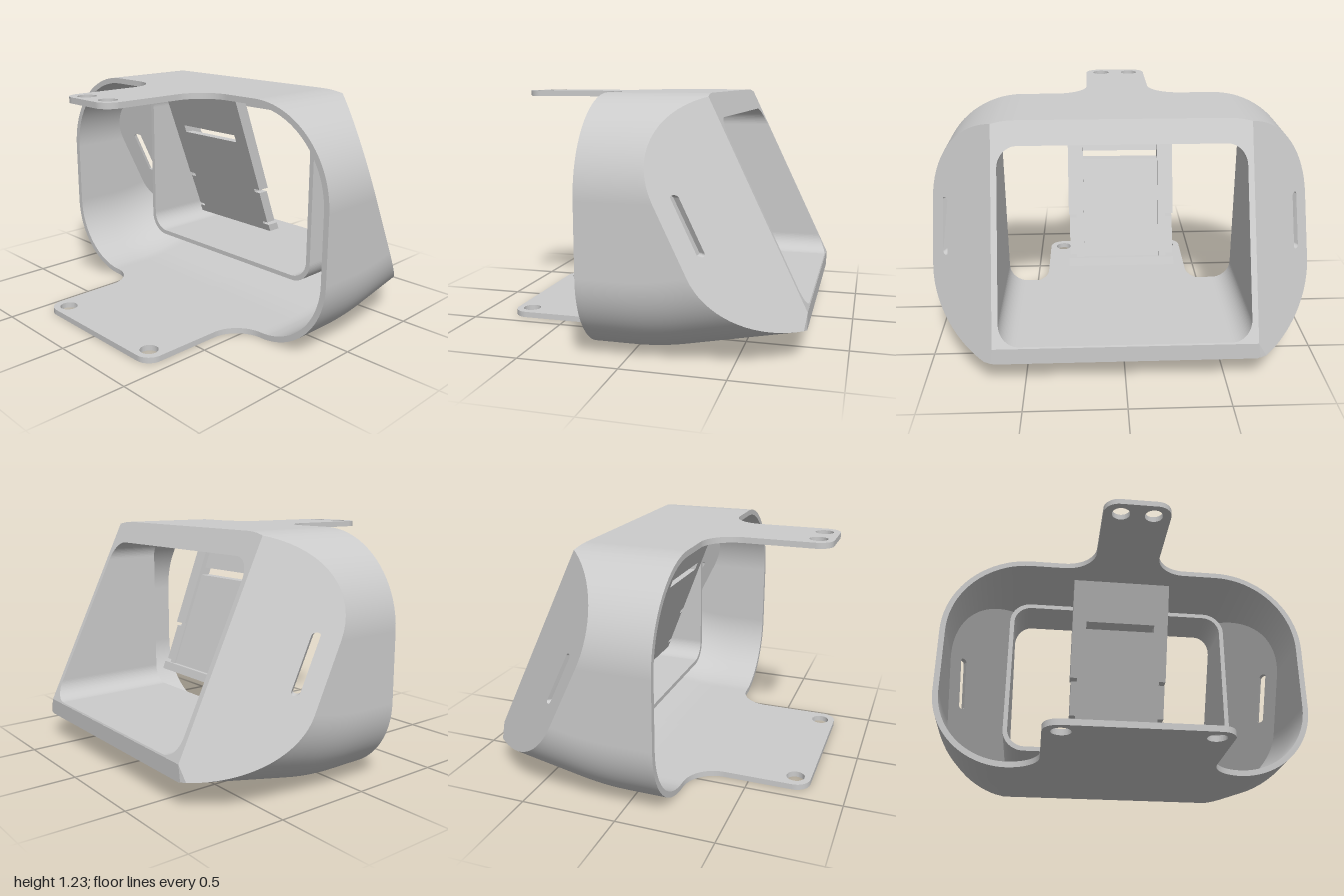
import * as THREE from 'three';

const BACK = -0.2, NOSE = 0.81, TOP = 1.225, WALL = 0.03, EDGE = 0.65, H = Math.PI / 2;
const mat = new THREE.MeshStandardMaterial({ color: 0xcccccc, side: THREE.DoubleSide });

// leaning front plane with a chamfer beyond |z| = EDGE
const planeX = (z, y) => Math.min(NOSE, 0.917 - 1.1 * Math.max(0, Math.abs(z) - EDGE) - 0.483 * y);
// the underside bends up towards the nose
const lift = x => (x < 0 ? 0 : x < 0.25 ? 0.4 * x * x : 0.025 + 0.2 * (x - 0.25));

// half section from bottom middle to top middle: z, y, w (1 = follows the lift)
function halfSection(inset) {
  const pts = [[0, inset, 1]];
  const arc = (r, low) => {
    const cz = 1 - r, cy = low ? r : TOP - r, angles = [Math.acos((EDGE - cz) / r)];
    for (let i = 0; i <= 20; i++) angles.push((i / 20) * H);
    angles.sort((a, b) => (low ? b - a : a - b));
    for (const a of angles) {
      pts.push([cz + (r - inset) * Math.cos(a), cy + (low ? -1 : 1) * (r - inset) * Math.sin(a), low ? 1 : 0]);
    }
  };
  arc(0.4, true);
  arc(0.47, false);
  pts.push([0, TOP - inset, 0]);
  return pts;
}

function frontEnd([z, y, w]) {
  let x = 0.3;
  for (let i = 0; i < 10; i++) x = planeX(z, y + w * lift(x));
  return x;
}

function fullSection(inset) {
  const half = halfSection(inset);
  const other = half.slice(0, -1).reverse().map(([z, y, w]) => [-z, y, w]);
  return [...half, ...other];
}

// surface from a grid of points fn(i, j)
function gridSurface(fn, nu, nv) {
  const pos = [], idx = [];
  for (let i = 0; i <= nu; i++) for (let j = 0; j <= nv; j++) pos.push(...fn(i, j));
  for (let i = 0; i < nu; i++) for (let j = 0; j < nv; j++) {
    const a = i * (nv + 1) + j, b = a + nv + 1;
    idx.push(a, a + 1, b, b, a + 1, b + 1);
  }
  const g = new THREE.BufferGeometry();
  g.setAttribute('position', new THREE.Float32BufferAttribute(pos, 3));
  g.setIndex(idx);
  g.computeVertexNormals();
  return g;
}

function roundedRect(path, w, y0, y1, r) {
  path.moveTo(w, y0 + r);
  path.absarc(w - r, y1 - r, r, 0, H);
  path.absarc(-w + r, y1 - r, r, H, 2 * H);
  path.absarc(-w + r, y0 + r, r, 2 * H, 3 * H);
  path.absarc(w - r, y0 + r, r, 3 * H, 4 * H);
  return path;
}

// extrude a (z, y) outline along x; place(z, y, t) gives the point, t = 0 back, 1 front
function extrudeX(shape, place) {
  const g = new THREE.ExtrudeGeometry(shape, { depth: 1, bevelEnabled: false, curveSegments: 10 });
  g.rotateY(H);
  const p = g.attributes.position;
  for (let i = 0; i < p.count; i++) p.setXYZ(i, ...place(p.getZ(i), p.getY(i), p.getX(i)));
  g.computeVertexNormals();
  return g;
}

// mounting flap with filleted root, rounded tip and two holes
function flap(w, holeZ) {
  const r = 0.17, c = 0.08, tip = -0.81, s = new THREE.Shape();
  s.moveTo(BACK + 0.01, w + r);
  s.absarc(BACK - r, w + r, r, 0, -H, true);
  s.absarc(tip + c, w - c, c, H, 2 * H);
  s.absarc(tip + c, -w + c, c, 2 * H, 3 * H);
  s.absarc(BACK - r, -w - r, r, H, 0, true);
  s.lineTo(BACK + 0.01, -w - r);
  for (const z of [-holeZ, holeZ]) s.holes.push(new THREE.Path().absarc(-0.73, z, 0.047, 0, 4 * H, true));
  return new THREE.ExtrudeGeometry(s, { depth: WALL, bevelEnabled: false, curveSegments: 16 }).rotateX(-H);
}

// leaning slab of the holder between two heights
function slab(z0, z1, y0, y1, th) {
  const xb = y => 0.22 - 0.38 * (y - 0.4);
  const s = new THREE.Shape([[xb(y0), y0], [xb(y0) + th, y0], [xb(y1) + th, y1], [xb(y1), y1]]
    .map(p => new THREE.Vector2(...p)));
  return new THREE.ExtrudeGeometry(s, { depth: z1 - z0, bevelEnabled: false }).translate(0, 0, z0);
}

export function createModel() {
  const model = new THREE.Group();
  const add = (name, geo, parent = model) => {
    const m = new THREE.Mesh(geo, mat);
    m.name = name;
    parent.add(m);
    return m;
  };

  // hood: outer and inner skin, and the rim at the open back
  const outer = fullSection(0), inner = fullSection(WALL), n = outer.length - 1, steps = 20;
  const skin = (ring, gap) => (i, j) => {
    const p = ring[i], x = BACK + (frontEnd(p) - gap - BACK) * (j / steps);
    return [x, p[1] + p[2] * lift(x), p[0]];
  };
  add('hoodOuterSkin', gridSurface(skin(outer, 0), n, steps));
  add('hoodInnerSkin', gridSurface(skin(inner, 0.02), n, steps));
  add('hoodRim', gridSurface((i, j) => {
    const p = (j ? inner : outer)[i];
    return [BACK, p[1], p[0]];
  }, n, 1));

  // where the hood meets the front planes
  const ends = halfSection(0).map(p => [p[0], p[1] + p[2] * lift(frontEnd(p))]);

  // front frame with the window
  const topEdge = ends.filter(([z, y]) => z <= EDGE + 1e-6 && y > 0.7);
  const frame = new THREE.Shape([[EDGE, 0.2215], ...topEdge,
    ...topEdge.slice(0, -1).reverse().map(([z, y]) => [-z, y]), [-EDGE, 0.2215]]
    .map(p => new THREE.Vector2(...p)));
  frame.holes.push(roundedRect(new THREE.Path(), 0.62, 0.23, 1.11, 0.1));
  add('frontFrame', extrudeX(frame, (z, y, t) => [planeX(0, y) - WALL * (1 - t), y, z]));
  add('frontLip', new THREE.BoxGeometry(0.04, 0.085, 2 * EDGE)).position.set(NOSE - 0.02, 0.1795, 0);

  // straight window tunnel running back from the frame
  const tunnel = roundedRect(new THREE.Shape(), 0.645, 0.205, 1.135, 0.12);
  tunnel.holes.push(roundedRect(new THREE.Path(), 0.62, 0.23, 1.11, 0.1));
  add('windowTunnel', extrudeX(tunnel, (z, y, t) => [t > 0.5 ? planeX(0, y) - 0.006 : 0.125, y, z]));

  // slotted chamfer panels
  for (const side of [1, -1]) {
    const rim = ends.filter(([z]) => z >= EDGE - 1e-6);
    const panel = new THREE.Shape([...rim, [EDGE, 0.2215]].map(([z, y]) => new THREE.Vector2(side * z, y)));
    const slot = new THREE.Path(), c = side * 0.92, r = 0.014;
    slot.absarc(c, 0.776, r, 0, 2 * H);
    slot.absarc(c, 0.534, r, 2 * H, 4 * H);
    panel.holes.push(slot);
    add(side < 0 ? 'leftChamferPanel' : 'rightChamferPanel', extrudeX(panel, (z, y, t) => {
      const k = t > 0.5 ? 1 : 0.98;
      return [planeX(z, y) - WALL * (1 - t), 0.65 + (y - 0.65) * k, z * k];
    }));
  }

  // mounting flaps
  add('topFlap', flap(0.175, 0.085)).position.y = TOP - WALL;
  add('bottomFlap', flap(0.435, 0.35));

  // leaning holder hung from the roof
  const holder = new THREE.Group();
  holder.name = 'holder';
  model.add(holder);
  add('holderPlate', slab(-0.2, 0.2, 0.42, 0.93, 0.05), holder);
  add('holderLip', slab(-0.28, 0.28, 0.4, 0.44, 0.07), holder);
  add('holderCrossbar', slab(-0.2, 0.2, 0.97, 1.2, 0.04), holder);
  for (const s of [1, -1]) {
    const span = (a, b) => (s > 0 ? [a, b] : [-b, -a]);
    add('holderArm', slab(...span(0.2, 0.28), 0.66, 1.2, 0.07), holder);
    add('holderCheek', slab(...span(0.2, 0.24), 0.43, 0.67, 0.06), holder);
    add('holderClip', slab(...span(0.24, 0.275), 0.455, 0.64, 0.06), holder);
  }
  return model;
}
